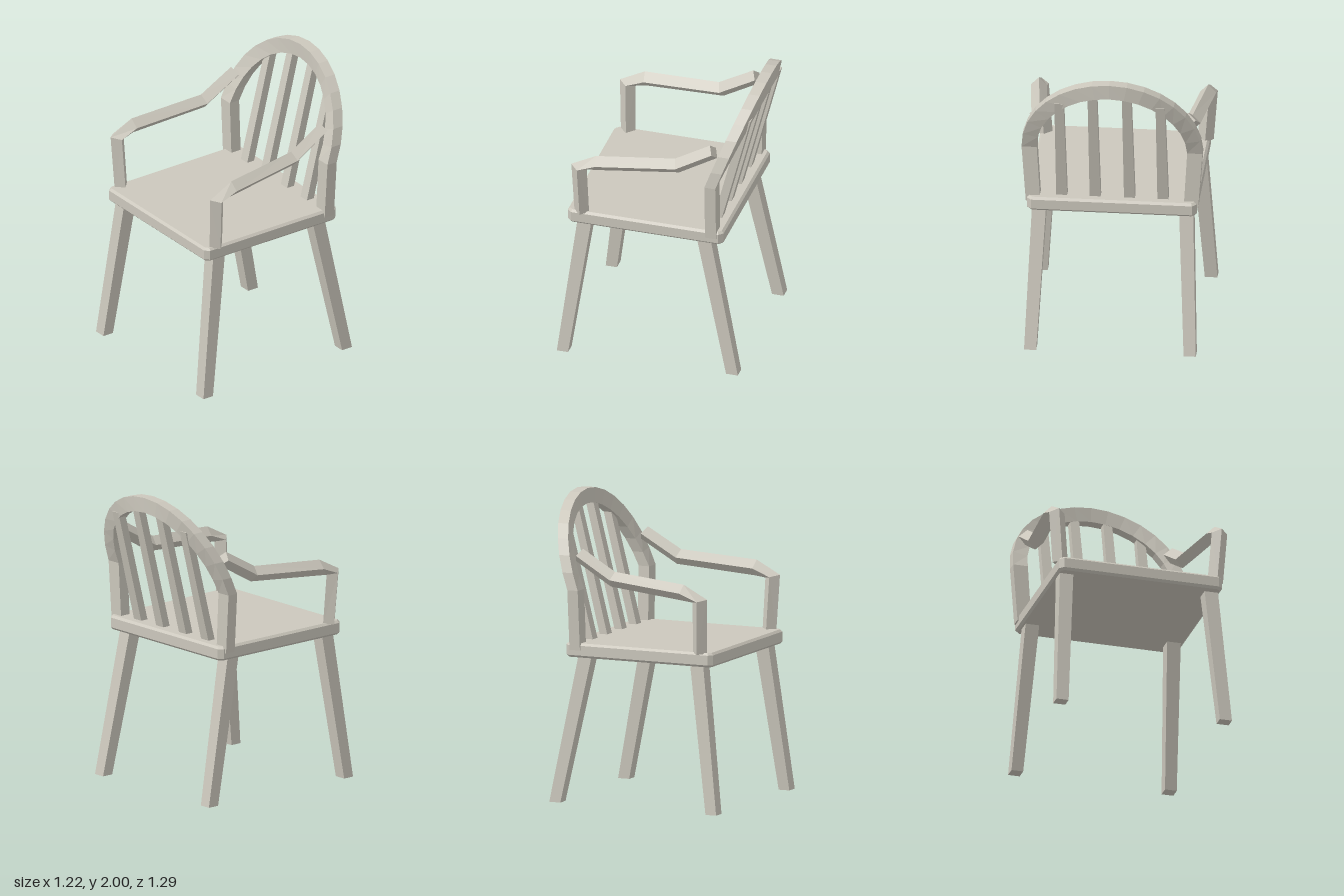
import * as THREE from 'three';

const wood = new THREE.MeshStandardMaterial({ color: 0xcbc7bc });
wood.name = 'pale wood';

// Joins four-cornered cross-sections into a closed, flat-shaded bar
function bar(name, rings) {
  const tris = [];
  const quad = (a, b, c, d) => tris.push([a, b, c], [a, c, d]);
  for (let i = 0; i < rings.length - 1; i++) {
    for (let j = 0; j < 4; j++) {
      const k = (j + 1) % 4;
      quad(rings[i][j], rings[i][k], rings[i + 1][k], rings[i + 1][j]);
    }
  }
  const s = rings[0], e = rings[rings.length - 1];
  quad(s[0], s[3], s[2], s[1]);
  quad(e[0], e[1], e[2], e[3]);
  // Turn the faces outward whichever way the sections run
  let volume = 0;
  for (const [a, b, c] of tris) volume += a.dot(b.clone().cross(c));
  const points = tris.flatMap(t => (volume < 0 ? [t[0], t[2], t[1]] : t));
  const geometry = new THREE.BufferGeometry().setFromPoints(points);
  geometry.computeVertexNormals();
  const mesh = new THREE.Mesh(geometry, wood);
  mesh.name = name;
  return mesh;
}

// Horizontal rectangle at height y
const rect = (y, x0, x1, z0, z1) => [[x0, z0], [x1, z0], [x1, z1], [x0, z1]]
  .map(([x, z]) => new THREE.Vector3(x, y, z));

// Diamond section: half width along x, half height along (vy, vz)
const diamond = (x, y, z, vy, vz, w = 0.053) => [
  new THREE.Vector3(x + w, y, z), new THREE.Vector3(x, y + vy, z + vz),
  new THREE.Vector3(x - w, y, z), new THREE.Vector3(x, y - vy, z - vz)];

const mirror = rings => rings.map(r => r.map(p => new THREE.Vector3(-p.x, p.y, p.z)));

function seat() {
  const bevel = 0.015, c = 0.02, x = 0.558 - bevel, f = 0.592 - bevel, b = 0.473 - bevel;
  // Shape y becomes -z
  const shape = new THREE.Shape([
    [-x + c, -f], [x - c, -f], [x, -f + c], [x, b - c],
    [x - c, b], [-x + c, b], [-x, b - c], [-x, -f + c],
  ].map(p => new THREE.Vector2(...p)));
  const geometry = new THREE.ExtrudeGeometry(shape, {
    depth: 0.065, bevelEnabled: true, bevelSize: bevel, bevelThickness: bevel, bevelSegments: 1,
  });
  geometry.rotateX(-Math.PI / 2).translate(0, 0.985, 0);
  const mesh = new THREE.Mesh(geometry, wood);
  mesh.name = 'seat';
  return mesh;
}

// Bent hoop whose two ends run down to the seat as posts
function backHoop() {
  const rings = [], steps = 16;
  const post = rect(1.02, 0.472, 0.567, -0.357, -0.432);
  rings.push(post);
  for (let i = 0; i <= steps; i++) {
    const t = Math.PI * i / steps, cos = Math.cos(t), sin = Math.sin(t);
    const zf = -0.36 - 0.21 * sin, zb = zf - 0.075;
    const inner = [0.495 * cos, 1.42 + 0.48 * sin], outer = [0.595 * cos, 1.42 + 0.58 * sin];
    rings.push([
      new THREE.Vector3(...inner, zf), new THREE.Vector3(...outer, zf),
      new THREE.Vector3(...outer, zb), new THREE.Vector3(...inner, zb)]);
  }
  rings.push(mirror([post])[0]);
  return bar('backHoop', rings);
}

export function createModel() {
  const chair = new THREE.Group();
  chair.name = 'armchair';
  chair.add(seat(), backHoop());

  // Splayed legs
  const frontLeg = [rect(0, 0.517, 0.6, 0.57, 0.647), rect(0.98, 0.448, 0.54, 0.43, 0.525)];
  const backLeg = [rect(0, 0.485, 0.565, -0.58, -0.5), rect(0.98, 0.437, 0.53, -0.385, -0.29)];

  // Arm: upright post that bends into a rail toward the hoop
  const arm = [
    diamond(0.53, 1.055, 0.497, 0, 0.05),
    diamond(0.556, 1.408, 0.508, 0.013, 0.053),
    diamond(0.557, 1.457, 0.385, 0.053, 0.006),
    diamond(0.504, 1.5, -0.147, 0.05, 0.015),
    diamond(0.495, 1.643, -0.394, 0.043, 0.025),
  ];

  for (const [name, rings] of [['FrontLeg', frontLeg], ['BackLeg', backLeg], ['Arm', arm]]) {
    chair.add(bar('left' + name, rings), bar('right' + name, mirror(rings)));
  }

  // Leaning back spindles, the outer pair shorter under the curve
  for (const [x, top] of [[0.333, 1.83], [0.113, 1.93]]) {
    const lean = (top - 1.055) * 0.253;
    const rings = [
      rect(1.055, x - 0.036, x + 0.036, -0.41, -0.355),
      rect(top, x - 0.03, x + 0.03, -0.41 - lean, -0.355 - lean)];
    chair.add(bar('leftSpindle', rings), bar('rightSpindle', mirror(rings)));
  }
  return chair;
}
